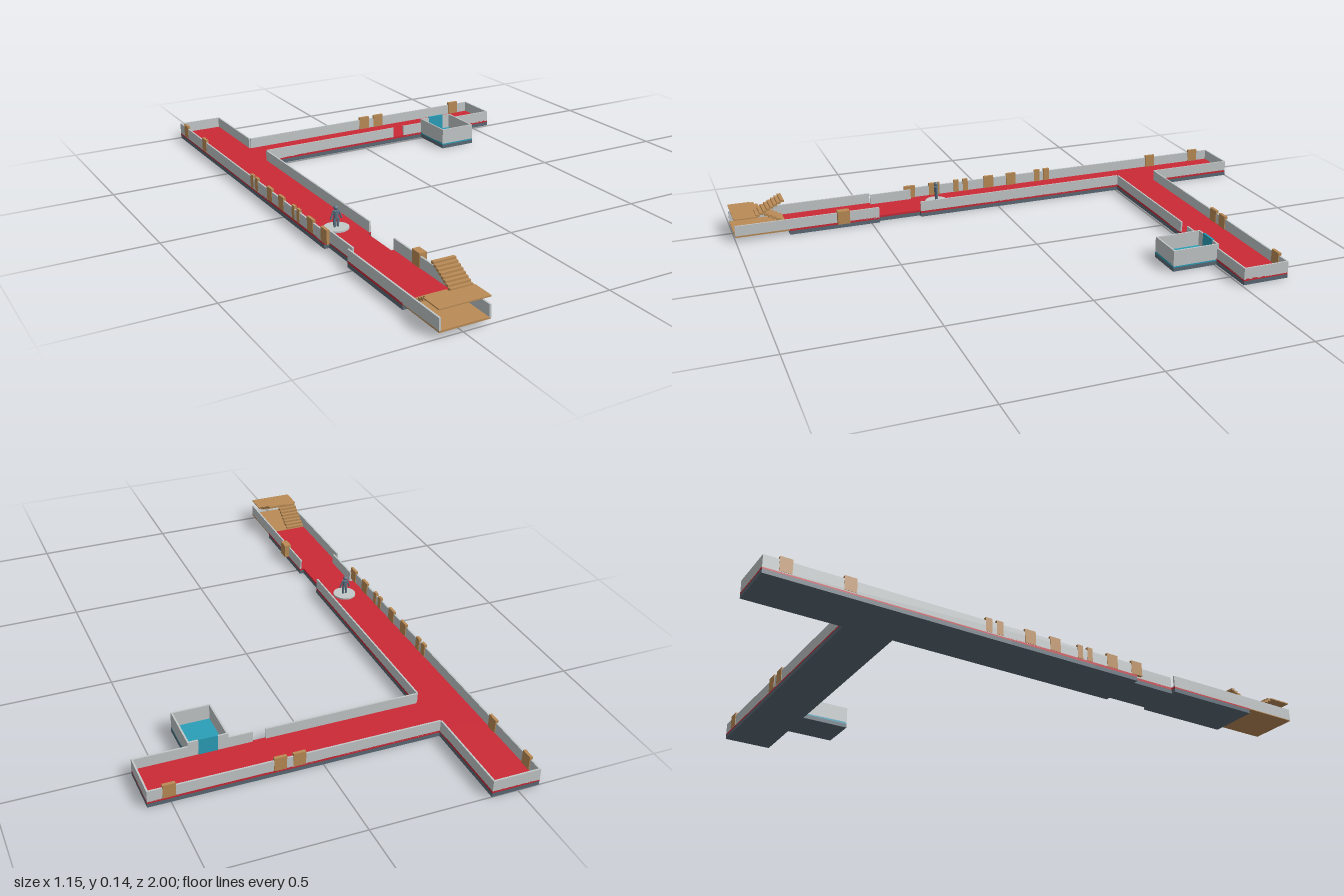
import * as THREE from 'three';

const mat = (name, color) => {
  const m = new THREE.MeshStandardMaterial({ color });
  m.name = name;
  return m;
};

export function createModel() {
  const red = mat('red carpet', 0xcb2a36);
  const grey = mat('wall grey', 0xc3c8c9);
  const slate = mat('base slate', 0x5a6a76);
  const wood = mat('wood', 0xbb8c56);
  const teal = mat('teal', 0x2b9fb9);
  const steel = mat('statue steel', 0x5f7688);
  const model = new THREE.Group();

  // Box given by its two opposite corners
  const box = (name, m, x0, x1, y0, y1, z0, z1, parent = model) => {
    const mesh = new THREE.Mesh(new THREE.BoxGeometry(x1 - x0, y1 - y0, z1 - z0), m);
    mesh.position.set((x0 + x1) / 2, (y0 + y1) / 2, (z0 + z1) / 2);
    mesh.name = name;
    parent.add(mesh);
    return mesh;
  };
  const L = -0.575, R = -0.41, E = 0.575, B = -0.675, F = -0.508, T = 0.006;
  const BASE = 0.014, FLOOR = 0.022, TOP = 0.06;

  // Base slab and carpet, tile by tile
  const tile = (x0, x1, z0, z1, top = red) => {
    box('baseSlab', slate, x0, x1, 0, BASE, z0, z1);
    box('floorTile', top, x0, x1, BASE, FLOOR, z0, z1);
  };
  const zs = [-1, B, F, -0.18, 0.14, 0.31];
  for (let i = 0; i < zs.length - 1; i++) tile(L, R, zs[i], zs[i + 1]);
  tile(-0.558, -0.425, 0.31, 0.47);
  tile(L, R, 0.47, 0.635);
  tile(L, R, 0.635, 0.805);
  const xs = [R, -0.08, 0.08, 0.408, E];
  for (let i = 0; i < xs.length - 1; i++) tile(xs[i], xs[i + 1], B, F);
  tile(0.257, 0.393, F, -0.342, teal);

  // Walls
  const wallZ = (x, z0, z1, top = TOP) => box('wall', grey, x, x + T, FLOOR - 0.003, top, z0, z1);
  const wallX = (z, x0, x1, top = TOP) => box('wall', grey, x0, x1, FLOOR - 0.003, top, z, z + T);
  wallZ(L, -1, 0.31);
  wallZ(-0.558, 0.31, 0.47);
  wallZ(L, 0.47, 1);
  wallZ(R - T, -1, B);
  wallZ(R - T, F, 0.31);
  wallZ(R - T, 0.47, 1);
  wallX(-1, L, R);
  wallX(B, R, E);
  wallZ(E - T, B, F);
  wallX(F - T, R, 0.13);
  wallX(F - T, 0.175, 0.257);
  wallX(F - T, 0.393, E);

  // Side room with a teal door
  wallZ(0.257, F - T, -0.342, 0.076);
  wallZ(0.393 - T, F - T, -0.342, 0.076);
  wallX(-0.342 - T, 0.257, 0.393, 0.076);
  wallX(F - T, 0.257, 0.293, 0.076);
  wallX(F - T, 0.357, 0.393, 0.076);
  box('sideRoomDoor', teal, 0.293, 0.357, FLOOR, 0.079, F - 0.007, F + 0.001);

  // Wooden doors set through the walls
  const doorsLong = [[0.31, 0.043], [0.21, 0.043], [0.12, 0.02], [0.082, 0.02], [-0.015, 0.04],
    [-0.11, 0.04], [-0.222, 0.024], [-0.262, 0.024], [-0.73, 0.04], [-0.93, 0.04]];
  for (const [z, w] of doorsLong)
    box('door', wood, L - 0.001, L + T + 0.003, FLOOR, 0.07, z - w / 2, z + w / 2);
  for (const [x, w] of [[0.082, 0.042], [0.146, 0.042], [0.505, 0.042]])
    box('door', wood, x - w / 2, x + w / 2, FLOOR, 0.07, B - 0.002, B + T + 0.003);
  box('outerDoor', wood, R - T - 0.002, R + 0.018, FLOOR - 0.002, 0.07, 0.585, 0.63);

  // Stair hall: wooden floor, landing and two flights
  box('stairHallFloor', wood, L, R, 0.016, FLOOR, 0.805, 1);
  box('landing', wood, L, R, 0.082, 0.086, 0.918, 1);
  const flight = (name, x0, x1, zA, yA, zB, yB) => {
    const g = new THREE.Group();
    g.name = name;
    const n = 8, dz = (zB - zA) / n, dy = (yB - yA) / n;
    for (let i = 0; i < n; i++) {
      const z0 = zA + i * dz, z1 = z0 + dz, y = yA + (i + 1) * dy;
      box('step', wood, x0, x1, y - dy - 0.002, y, Math.min(z0, z1), Math.max(z0, z1), g);
    }
    model.add(g);
  };
  flight('lowerFlight', -0.569, -0.495, 0.81, FLOOR, 0.92, 0.086);
  flight('upperFlight', -0.49, -0.416, 0.92, 0.084, 0.817, 0.136);

  // Statue on a round plinth
  const statue = new THREE.Group();
  statue.name = 'statue';
  statue.position.set(-0.49, FLOOR, 0.225);
  const add = (name, geo, m, x, y, z = 0) => {
    const mesh = new THREE.Mesh(geo, m);
    mesh.name = name;
    mesh.position.set(x, y, z);
    statue.add(mesh);
    return mesh;
  };
  add('plinth', new THREE.CylinderGeometry(0.042, 0.042, 0.006, 24), grey, 0, 0.003);
  for (const s of [-1, 1]) {
    add('leg', new THREE.CylinderGeometry(0.005, 0.004, 0.03, 10), steel, s * 0.006, 0.021);
    add('arm', new THREE.CylinderGeometry(0.003, 0.003, 0.028, 8), steel, s * 0.015, 0.046).rotation.z = s * 0.35;
  }
  add('torso', new THREE.CylinderGeometry(0.011, 0.008, 0.027, 12), steel, 0, 0.048).scale.z = 0.7;
  add('head', new THREE.SphereGeometry(0.008, 14, 10), steel, 0, 0.071);
  model.add(statue);

  return model;
}
